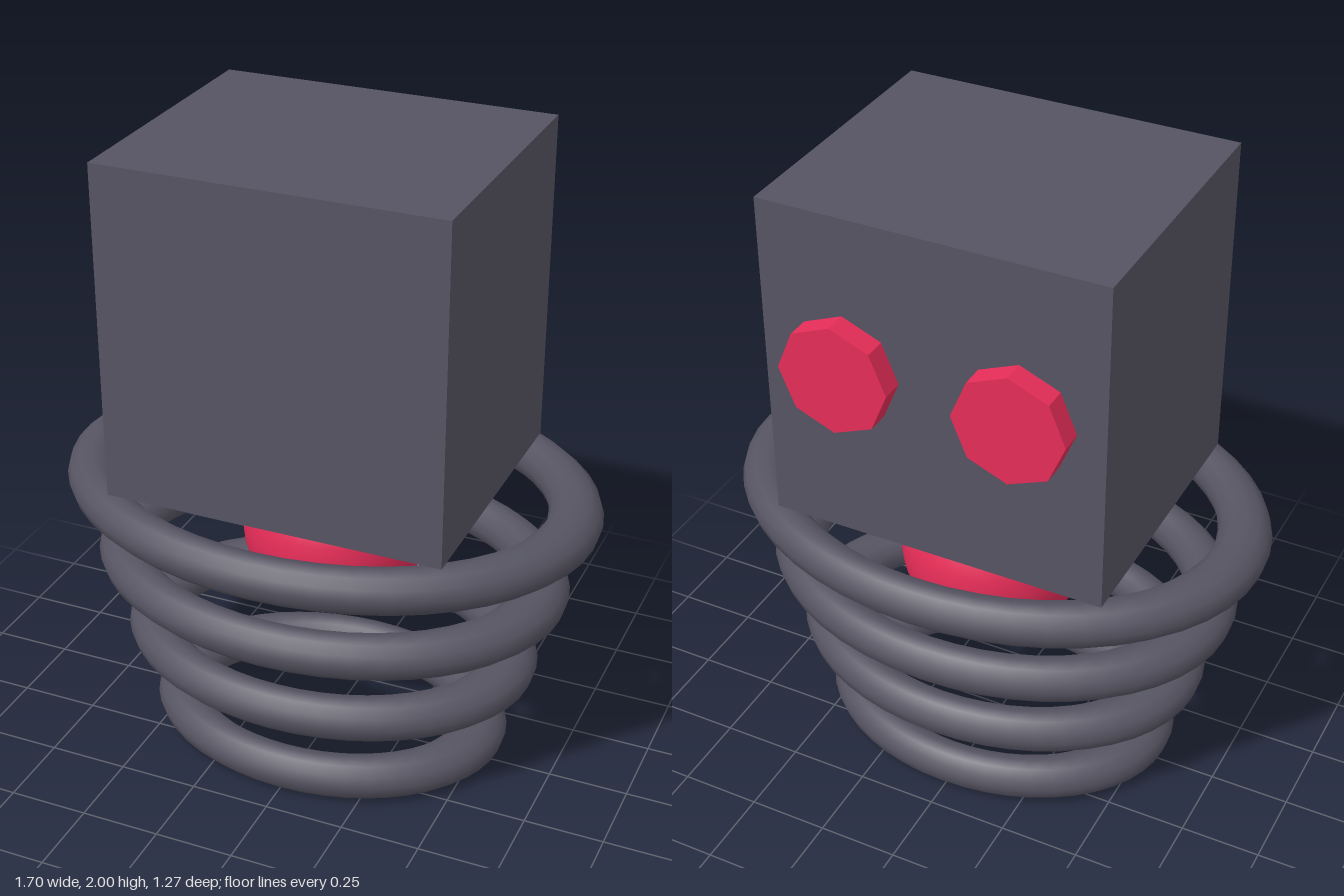
import * as THREE from 'three';

export function createModel() {
  const model = new THREE.Group();
  const dark = new THREE.MeshStandardMaterial({ color: 0x565462 });
  const red = new THREE.MeshStandardMaterial({ color: 0xe62d58 });
  const redFaceted = new THREE.MeshStandardMaterial({ color: 0xe62d58, flatShading: true });

  function add(name, geometry, material, x, y, z) {
    const mesh = new THREE.Mesh(geometry, material);
    mesh.name = name;
    mesh.position.set(x, y, z);
    model.add(mesh);
    return mesh;
  }

  // Block-shaped head
  add('head', new THREE.BoxGeometry(1.056, 1.04, 0.882), dark, -0.002, 1.48, 0);

  // Octagonal eyes on the back face
  for (const side of [-1, 1]) {
    const eye = new THREE.CylinderGeometry(0.172, 0.172, 0.09, 8);
    eye.rotateX(Math.PI / 2);
    add(side > 0 ? 'leftEye' : 'rightEye', eye, redFaceted, side * 0.27, 1.523, -0.467);
  }

  // Ball core under the head
  add('core', new THREE.SphereGeometry(0.292, 32, 16), red, 0, 0.742, -0.045);

  // Stack of oval rings, widening upwards
  for (let i = 0; i < 4; i++) {
    const ring = new THREE.TorusGeometry(0.418 + i * 0.073, 0.07, 12, 48);
    ring.rotateX(Math.PI / 2);
    ring.scale(1.2, 1, 0.9);
    add('ring' + (i + 1), ring, dark, 0, 0.075 + i * 0.27, 0);
  }

  return model;
}
